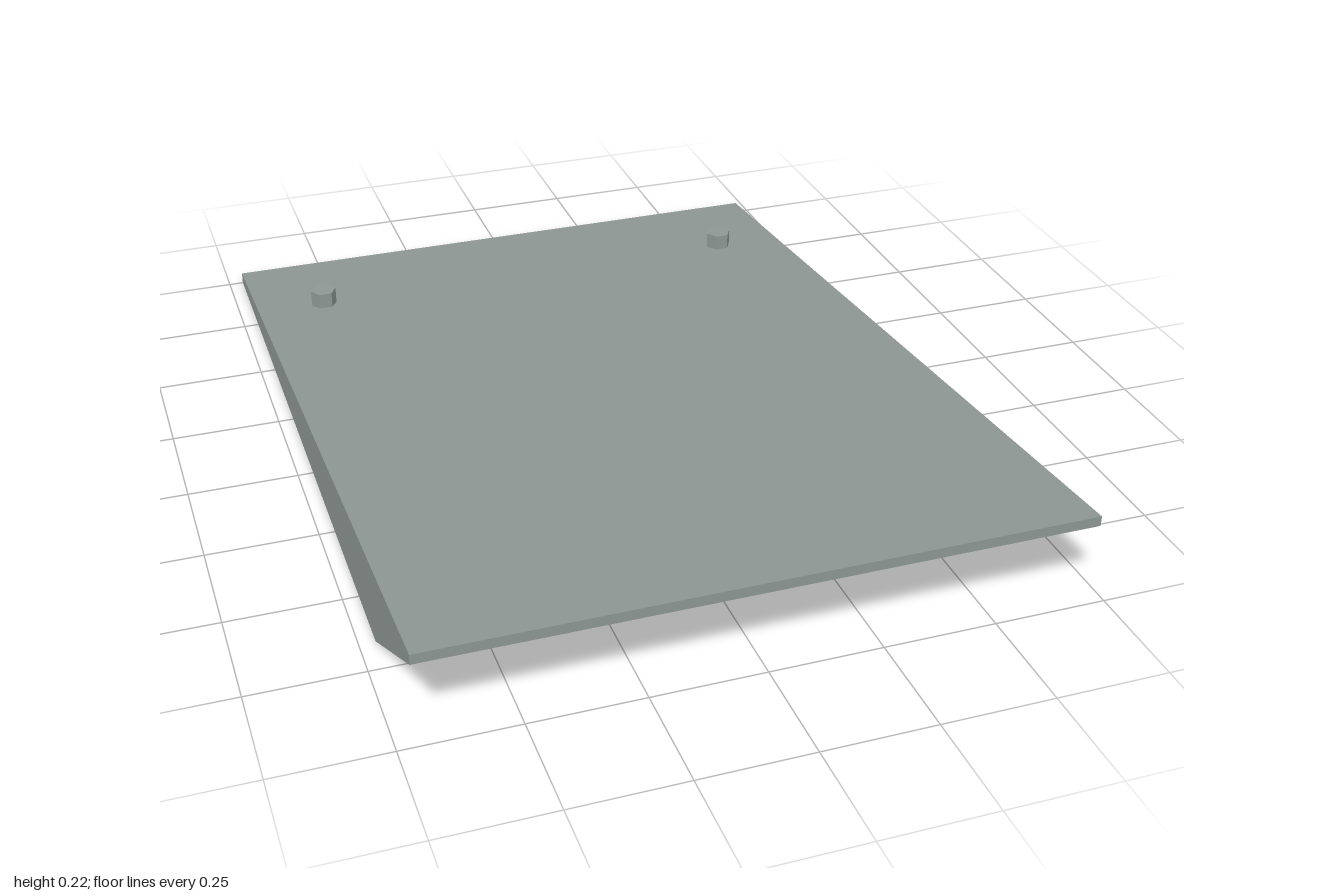
import * as THREE from 'three';

export function createModel() {
  const model = new THREE.Group();
  model.name = 'wedgeRamp';
  const grey = new THREE.MeshStandardMaterial({ color: 0x8e9894, flatShading: true });
  grey.name = 'greenish grey';

  // Wedge: side profile as (z, y), extruded across the width
  const width = 1.43;
  const profile = [[-1, 0], [0.66, 0], [1, 0.195], [1, 0.218], [-1, 0.028]];
  const shape = new THREE.Shape(profile.map(([z, y]) => new THREE.Vector2(z, y)));
  const wedgeGeometry = new THREE.ExtrudeGeometry(shape, { depth: width, bevelEnabled: false });
  wedgeGeometry.translate(0, 0, -width / 2).rotateY(-Math.PI / 2);
  const wedge = new THREE.Mesh(wedgeGeometry, grey);
  wedge.name = 'wedge';
  model.add(wedge);

  // Hexagonal pegs near the low back edge, sunk slightly into the slope
  const bottom = 0.05, top = 0.097;
  const pegGeometry = new THREE.CylinderGeometry(0.032, 0.032, top - bottom, 6);
  pegGeometry.rotateY(Math.PI / 6);
  for (const side of [1, -1]) {
    const peg = new THREE.Mesh(pegGeometry, grey);
    peg.name = side > 0 ? 'leftPeg' : 'rightPeg';
    peg.position.set(side * 0.546, (bottom + top) / 2, -0.705);
    model.add(peg);
  }
  return model;
}
